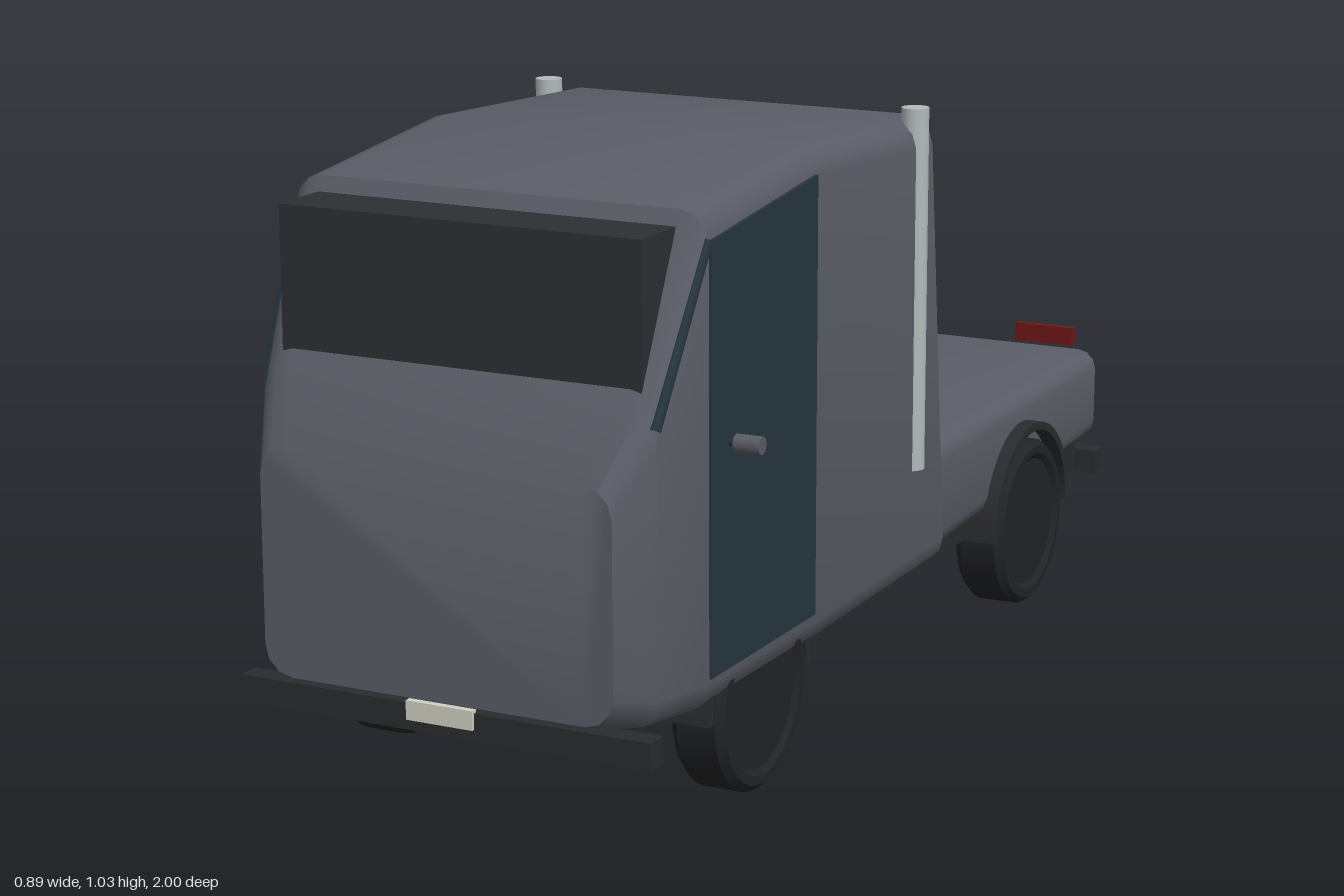
import * as THREE from 'three';
import { toCreasedNormals } from 'three/addons/utils/BufferGeometryUtils.js';

const MID = 0.015; // the body sits slightly off x = 0
const mat = (color, side = THREE.FrontSide) => new THREE.MeshStandardMaterial({ color, side });
const paint = mat(0x5a5d66), glass = mat(0x2d2f33), doorBlue = mat(0x263640, THREE.DoubleSide);
const dark = mat(0x2a2b2e), rubber = mat(0x222325, THREE.DoubleSide);
const metal = mat(0xb4babc), red = mat(0x701616), plateWhite = mat(0xd0d0c4);

// Rounded rectangle ring, counter-clockwise seen from +z; lean shifts z back below the top
function ring({ z, y0, y1, half, r = 0.05, lean = 0 }) {
  const pts = [], seg = 3;
  const corners = [[half - r, y0 + r, -90], [half - r, y1 - r, 0], [r - half, y1 - r, 90], [r - half, y0 + r, 180]];
  for (const [cx, cy, start] of corners)
    for (let i = 0; i <= seg; i++) {
      const a = THREE.MathUtils.degToRad(start + (90 * i) / seg);
      const y = cy + r * Math.sin(a);
      pts.push(new THREE.Vector3(cx + r * Math.cos(a), y, z - lean * (y1 - y)));
    }
  return pts;
}

// Closed skin through sections ordered from front to back
function loft(sections) {
  const rings = sections.map(ring), n = rings[0].length, pos = [];
  const tri = (...p) => p.forEach(v => pos.push(v.x, v.y, v.z));
  for (let i = 0; i < rings.length - 1; i++)
    for (let j = 0; j < n; j++) {
      const k = (j + 1) % n, [A, B] = [rings[i], rings[i + 1]];
      tri(A[j], B[j], A[k]);
      tri(A[k], B[j], B[k]);
    }
  const first = rings[0], last = rings[rings.length - 1];
  for (let j = 1; j < n - 1; j++) {
    tri(first[0], first[j], first[j + 1]);
    tri(last[0], last[j + 1], last[j]);
  }
  const g = new THREE.BufferGeometry();
  g.setAttribute('position', new THREE.Float32BufferAttribute(pos, 3));
  return toCreasedNormals(g, 0.6);
}

export function createModel() {
  const model = new THREE.Group();
  model.name = 'flatbedTruck';
  const body = new THREE.Group();
  body.name = 'truckBody';
  body.position.x = MID;
  model.add(body);

  const add = (name, geometry, material, x = 0, y = 0, z = 0) => {
    const m = new THREE.Mesh(geometry, material);
    m.name = name;
    m.position.set(x, y, z);
    body.add(m);
    return m;
  };
  const box = (name, material, w, h, d, x, y, z) =>
    add(name, new THREE.BoxGeometry(w, h, d), material, x, y, z);

  // Cab with sloping nose and leaning rear wall
  add('cab', loft([
    { z: 1.0, y0: 0.22, y1: 0.60, half: 0.313 },
    { z: 0.925, y0: 0.20, y1: 0.715, half: 0.35 },
    { z: 0.79, y0: 0.19, y1: 0.99, half: 0.37 },
    { z: 0.40, y0: 0.185, y1: 1.03, half: 0.37 },
    { z: -0.06, y0: 0.19, y1: 1.01, half: 0.368, lean: 0.1 },
  ]), paint);

  // Low rear deck
  add('bed', loft([
    { z: -0.05, y0: 0.20, y1: 0.405, half: 0.352, r: 0.035 },
    { z: -1.0, y0: 0.22, y1: 0.395, half: 0.325, r: 0.035 },
  ]), paint);

  // Boxy windscreen, chassis, bumpers and plates
  box('windscreen', glass, 0.64, 0.24, 0.125, 0, 0.845, 0.853);
  box('chassis', dark, 0.62, 0.06, 0.91, 0, 0.195, -0.485);
  box('cabFloor', dark, 0.6, 0.02, 0.9, 0, 0.19, 0.4);
  for (const s of [1, -1]) {
    const end = s > 0 ? 'front' : 'rear', w = s > 0 ? 0.74 : 0.7;
    box(end + 'Bumper', dark, w, 0.045, 0.04, 0, 0.183, s * 0.965);
    box(end + 'Plate', plateWhite, 0.12, 0.032, 0.012, 0, 0.195, s * 0.985);
  }

  // Door outline in (z, y), extruded thinly along x
  const doorShape = new THREE.Shape([
    [0.41, 0.25], [0.79, 0.25], [0.79, 0.945], [0.41, 0.985],
  ].map(p => new THREE.Vector2(...p)));
  const doorGeo = new THREE.ExtrudeGeometry(doorShape, { depth: 0.01, bevelEnabled: false });
  doorGeo.rotateY(-Math.PI / 2).translate(0.005, 0, 0);

  // Tyre profile with bevelled shoulders and a shallow hub dish
  const tyreGeo = toCreasedNormals(new THREE.LatheGeometry([
    [0, -0.04], [0.12, -0.04], [0.13, -0.0475], [0.145, -0.0475], [0.157, -0.034],
    [0.157, 0.034], [0.145, 0.0475], [0.13, 0.0475], [0.12, 0.04], [0, 0.04],
  ].map(p => new THREE.Vector2(...p)), 32), 0.5).rotateZ(Math.PI / 2);

  // Half-round wheel arch shell
  const archShape = new THREE.Shape();
  archShape.absarc(0, 0, 0.187, 0, Math.PI, false);
  archShape.absarc(0, 0, 0.172, Math.PI, 0, true);
  const archGeo = new THREE.ExtrudeGeometry(archShape, { depth: 0.1, bevelEnabled: false, curveSegments: 20 });
  archGeo.rotateY(Math.PI / 2).translate(-0.05, 0, 0);

  for (const s of [1, -1]) {
    const side = s > 0 ? 'left' : 'right';
    add(side + 'Door', doorGeo, doorBlue, s * 0.369);
    // Narrow quarter glass running down the nose edge
    const strip = new THREE.LineCurve3(
      new THREE.Vector3(s * 0.364, 0.945, 0.785), new THREE.Vector3(s * 0.345, 0.675, 0.922));
    add(side + 'QuarterGlass', new THREE.TubeGeometry(strip, 1, 0.011, 6), doorBlue);

    // Door knob on its thin stalk
    const stalk = add(side + 'HandleStalk', new THREE.CylinderGeometry(0.006, 0.006, 0.04, 8), dark, s * 0.385, 0.617, 0.725);
    const knob = add(side + 'Handle', new THREE.CylinderGeometry(0.015, 0.015, 0.045, 8), paint, s * 0.407, 0.617, 0.725);
    stalk.rotation.z = knob.rotation.z = Math.PI / 2;

    // Upright exhaust stack behind the cab
    add(side + 'ExhaustStack', new THREE.CylinderGeometry(0.024, 0.024, 0.635, 14), metal, s * 0.357, 0.713, -0.015);
    box(side + 'TailLight', red, 0.12, 0.035, 0.016, s * 0.225, 0.425, -0.98);

    for (const [end, z] of [['Front', 0.58], ['Rear', -0.575]]) {
      add(side + end + 'Wheel', tyreGeo, rubber, s * 0.318, 0.157, z);
      add(side + end + 'WheelArch', archGeo, dark, s * (end === 'Rear' ? 0.315 : 0.308), 0.16, z);
    }
  }

  // Fuel tank on one flank only
  const tank = add('fuelTank', new THREE.CylinderGeometry(0.085, 0.085, 0.16, 16), metal, -0.385, 0.29, -0.275);
  tank.rotation.z = Math.PI / 2;

  return model;
}
